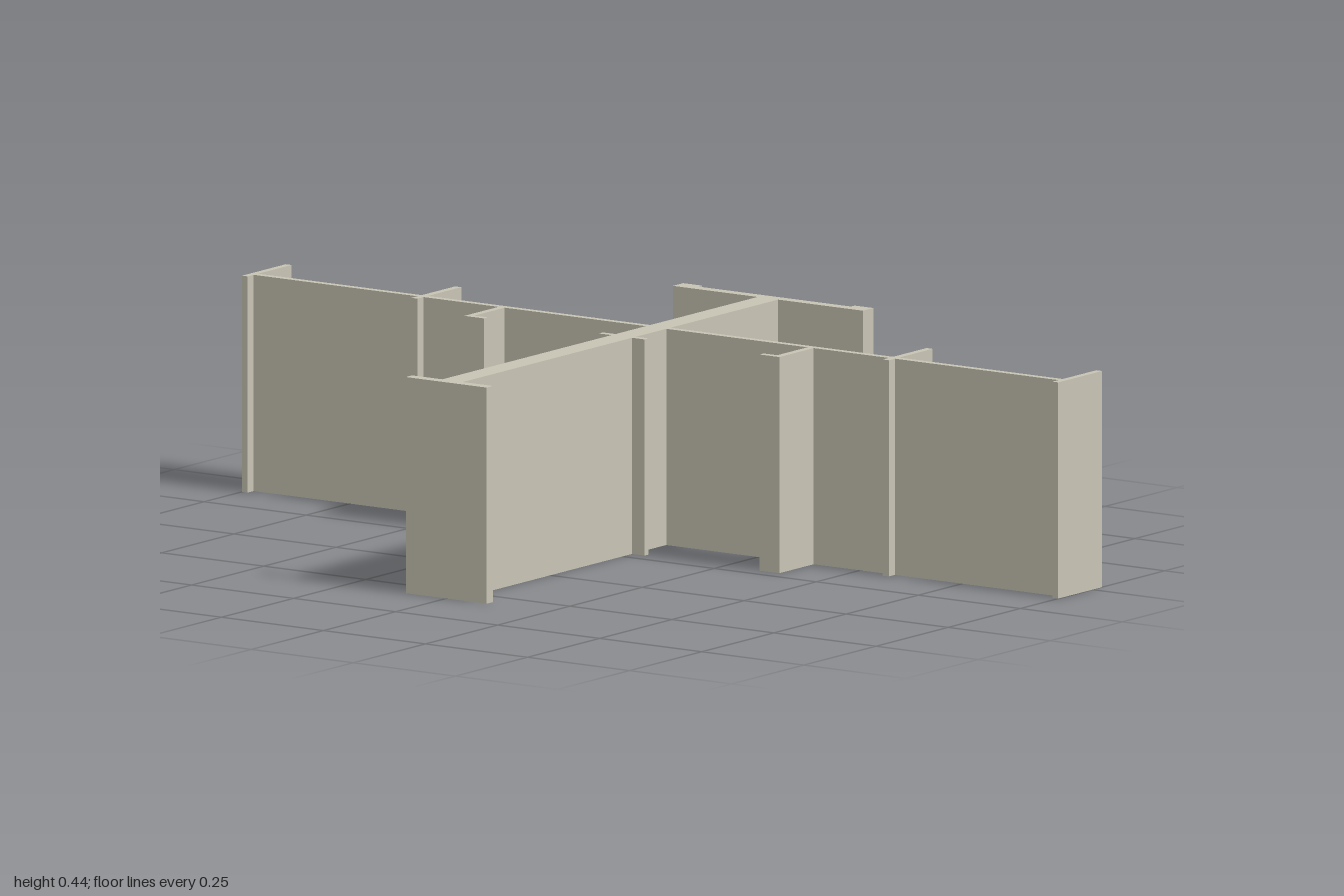
import * as THREE from 'three';

const HEIGHT = 0.44;

export function createModel() {
  const model = new THREE.Group();
  model.name = 'crossedWalls';
  const stone = new THREE.MeshStandardMaterial({ color: 0xc8c4b4 });
  stone.name = 'warm grey';

  // Upright slab given by its plan rectangle
  const wall = (name, x0, x1, z0, z1) => {
    const mesh = new THREE.Mesh(new THREE.BoxGeometry(x1 - x0, HEIGHT, z1 - z0), stone);
    mesh.position.set((x0 + x1) / 2, HEIGHT / 2, (z0 + z1) / 2);
    mesh.name = name;
    model.add(mesh);
  };
  // The same slab on both sides
  const pair = (name, x0, x1, z0, z1) => {
    wall(name + 'Left', x0, x1, z0, z1);
    wall(name + 'Right', -x1, -x0, z0, z1);
  };

  // Long spine with its end plates
  wall('spineWall', -0.025, 0.025, -0.54, 0.553);
  wall('frontPlate', -0.099, 0.099, 0.553, 0.575);
  wall('backPlate', -0.233, 0.233, -0.562, -0.539);
  pair('backPlateLip', 0.187, 0.233, -0.575, -0.562);

  // Thin cross wall, one wing on each side of the spine
  pair('crossWall', 0.025, 0.987, -0.167, -0.152);

  // Fins across the wings
  pair('endFin', 0.986, 1, -0.283, -0.131);
  pair('innerFin', 0.57, 0.585, -0.283, -0.131);

  // L-shaped brackets in front of the wings
  pair('bracketWeb', 0.371, 0.386, -0.152, -0.033);
  pair('bracketFoot', 0.338, 0.371, -0.047, -0.033);

  // Small tabs on the spine
  pair('spineTab', 0.025, 0.056, -0.047, -0.033);

  return model;
}
